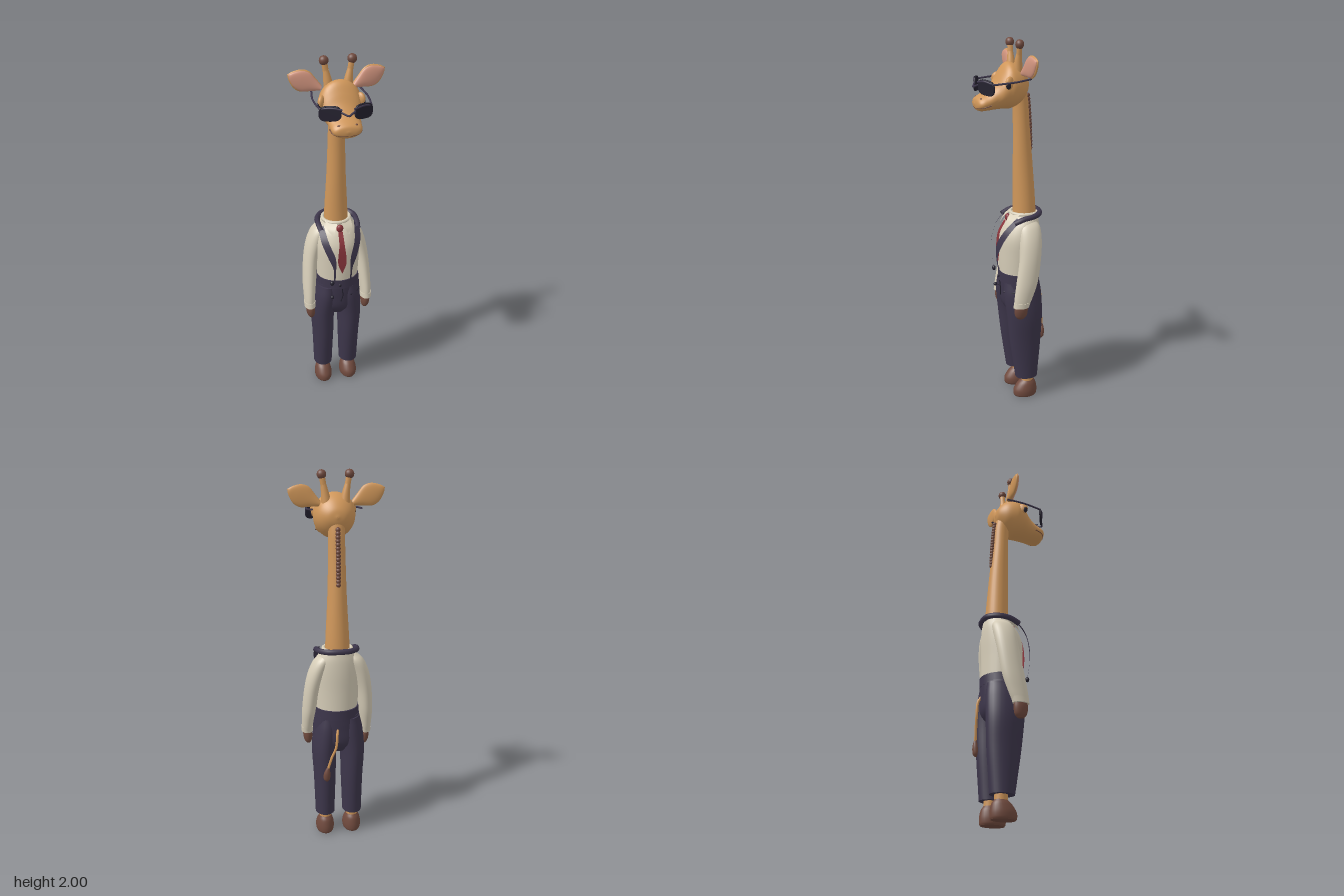
import * as THREE from 'three';

const V = (x, y, z) => new THREE.Vector3(x, y, z);

// Smooth skin over elliptical rings [cx, y, cz, rx, rz], listed from bottom to top
function loft(rows, steps = 5, n = 28) {
  const mid = new THREE.CatmullRomCurve3(rows.map(r => V(r[0], r[1], r[2])), false, 'catmullrom', 0.5);
  const rad = new THREE.CatmullRomCurve3(rows.map(r => V(r[3], r[4], 0)), false, 'catmullrom', 0.5);
  const m = (rows.length - 1) * steps, pos = [], idx = [];
  const ring = t => {
    const c = mid.getPoint(t), r = rad.getPoint(t);
    for (let j = 0; j < n; j++) {
      const a = j / n * Math.PI * 2;
      pos.push(c.x + Math.max(r.x, 1e-4) * Math.cos(a), c.y, c.z + Math.max(r.y, 1e-4) * Math.sin(a));
    }
    return c;
  };
  for (let i = 0; i <= m; i++) ring(i / m);
  for (let i = 0; i < m; i++) for (let j = 0; j < n; j++) {
    const k = (j + 1) % n, a = i * n + j, b = i * n + k;
    idx.push(a, a + n, b + n, a, b + n, b);
  }
  for (const t of [0, 1]) {
    const base = pos.length / 3, c = ring(t);
    pos.push(c.x, c.y, c.z);
    for (let j = 0; j < n; j++) {
      const a = base + j, b = base + (j + 1) % n;
      if (t) idx.push(a, base + n, b); else idx.push(a, b, base + n);
    }
  }
  return indexed(pos, idx);
}

function indexed(pos, idx) {
  const g = new THREE.BufferGeometry();
  g.setAttribute('position', new THREE.Float32BufferAttribute(pos, 3));
  g.setIndex(idx);
  g.computeVertexNormals();
  return g;
}

// Thin cloth strip between two edge curves
function ribbon(left, right, m = 24) {
  const a = new THREE.CatmullRomCurve3(left), b = new THREE.CatmullRomCurve3(right), pos = [], idx = [];
  for (let i = 0; i <= m; i++) {
    pos.push(...a.getPoint(i / m).toArray(), ...b.getPoint(i / m).toArray());
    if (i < m) idx.push(2 * i, 2 * i + 2, 2 * i + 1, 2 * i + 1, 2 * i + 2, 2 * i + 3);
  }
  return indexed(pos, idx);
}

const tube = (pts, r, seg = 32) => new THREE.TubeGeometry(new THREE.CatmullRomCurve3(pts.map(p => V(...p))), seg, r, 8);

export function createModel() {
  const root = new THREE.Group();
  const mat = (name, color, side = THREE.FrontSide) => new THREE.MeshStandardMaterial({ name, color, side });
  const tan = mat('tanFur', 0xd0975a), brown = mat('brown', 0x704a3e), pink = mat('earPink', 0xd2957f);
  const cream = mat('creamShirt', 0xd6cdb8, THREE.DoubleSide), navy = mat('navyCloth', 0x3d364b, THREE.DoubleSide);
  const red = mat('redTie', 0x8a353c, THREE.DoubleSide), dark = mat('darkGlass', 0x24212e);
  const add = (name, geo, m, parent = root) => {
    const mesh = new THREE.Mesh(geo, m);
    mesh.name = name;
    parent.add(mesh);
    return mesh;
  };
  const ball = (name, m, p, s) => {
    const b = add(name, new THREE.SphereGeometry(1, 20, 14), m);
    b.position.set(...p);
    b.scale.set(...s);
    return b;
  };

  // Neck and mane
  add('neck', loft([[0, 1.04, -.093, .067, .064], [0, 1.15, -.091, .062, .06], [0, 1.35, -.083, .051, .053],
    [0, 1.55, -.074, .045, .044], [0, 1.68, -.067, .043, .042], [0, 1.76, -.055, .045, .04]]), tan);
  for (let i = 0; i < 16; i++) {
    const t = i / 15;
    const tuft = ball('maneTuft', brown, [0, 1.43 + .28 * t, -.123 + .016 * t * t], [.013, .013, .014]);
    tuft.rotation.x = 0.4;
  }

  // Head, built along its length and turned to face forward
  const head = add('head', loft([[0, -.106, -1.77, .005, .005], [0, -.095, -1.77, .05, .045], [0, -.06, -1.768, .09, .09],
    [0, -.01, -1.768, .108, .117], [0, .02, -1.763, .107, .113], [0, .05, -1.742, .1, .092], [0, .08, -1.717, .086, .069],
    [0, .12, -1.695, .08, .05], [0, .155, -1.684, .075, .04], [0, .175, -1.682, .055, .027], [0, .182, -1.682, .005, .004]], 5, 36), tan);
  head.rotation.x = Math.PI / 2;
  add('mouth', tube([[-.079, 1.68, .115], [-.072, 1.67, .15], [-.05, 1.665, .17], [0, 1.662, .176],
    [.05, 1.665, .17], [.072, 1.67, .15], [.079, 1.68, .115]], .0025), brown);

  for (const s of [-1, 1]) {
    // Eyes, lids and nostrils
    ball('eyelid', tan, [s * .098, 1.79, .026], [.017, .034, .03]).rotation.y = s * .6;
    ball('eye', dark, [s * .104, 1.785, .032], [.014, .025, .021]).rotation.y = s * .6;
    ball('nostril', brown, [s * .043, 1.711, .159], [.009, .005, .006]);

    // Horns
    add('horn', tube([[s * .048, 1.83, -.035], [s * .058, 1.9, -.036], [s * .07, 1.975, -.036]], .015), tan);
    add('hornBase', loft([[s * .046, 1.82, -.035, .028, .028], [s * .053, 1.88, -.035, .021, .021],
      [s * .062, 1.93, -.036, .014, .014]]), tan);
    ball('hornTip', brown, [s * .071, 1.976, -.036], [.024, .024, .022]);

    // Ears with pink inner faces
    const ear = new THREE.Group();
    ear.name = 'ear';
    const leaf = (w, d, z) => loft([[0, -.01, z, .014 * w, d], [0, .03, z, .034 * w, d], [0, .075, z, .055 * w, d],
      [0, .115, z, .05 * w, d * .9], [0, .15, z, .025 * w, d * .6], [0, .168, z, .002, .001]]);
    add('earShell', leaf(1, .015, 0), tan, ear);
    add('earInner', leaf(.9, .014, .006), pink, ear).scale.y = .97;
    ear.position.set(s * .094, 1.838, -.055);
    ear.rotation.set(0, s * .06, -s * 1.13);
    root.add(ear);

    // Sunglass lens and temple arm
    const outline = new THREE.Shape();
    for (let i = 0; i <= 32; i++) {
      const a = i / 32 * Math.PI * 2, c = Math.cos(a), d = Math.sin(a);
      const x = .053 * Math.sign(c) * Math.abs(c) ** .65, y = .036 * Math.sign(d) * Math.abs(d) ** .65 - s * x * .08;
      i ? outline.lineTo(x, y) : outline.moveTo(x, y);
    }
    const lens = add('lens', new THREE.ExtrudeGeometry(outline,
      { depth: .005, bevelEnabled: true, bevelSize: .003, bevelThickness: .003, bevelSegments: 2 }), dark);
    lens.position.set(s * .082, 1.772, .142);
    lens.rotation.y = s * .46;
    add('glassesArm', tube([[s * .128, 1.79, .12], [s * .136, 1.795, .06], [s * .138, 1.8, 0], [s * .126, 1.81, -.08]], .005), navy);
    add('browRim', tube([[s * .03, 1.795, .172], [s * .08, 1.802, .154], [s * .13, 1.79, .12]], .005), navy);
  }
  add('glassesBridge', tube([[-.035, 1.783, .168], [-.018, 1.775, .178], [0, 1.768, .186], [.018, 1.775, .178], [.035, 1.783, .168]], .005), navy);

  // Shirt body and its collar
  add('shirt', loft([[0, .72, -.062, .113, .104], [0, .85, -.06, .121, .108], [0, .95, -.062, .125, .109],
    [0, 1.02, -.075, .114, .095], [0, 1.06, -.088, .092, .078], [0, 1.085, -.092, .078, .07]]), cream);
  const band = add('shirtCollar', new THREE.TorusGeometry(.074, .01, 10, 40), cream);
  band.position.set(0, 1.083, -.092);
  band.rotation.x = Math.PI / 2;

  // Tie, as knot and blade
  add('tie', ribbon([V(-.012, 1.045, .016), V(-.015, .98, .052), V(-.023, .87, .06), V(-.001, .805, .058)],
    [V(.012, 1.045, .016), V(.015, .98, .052), V(.023, .87, .06), V(.001, .805, .058)]), red);
  ball('tieKnot', red, [0, 1.058, .002], [.019, .022, .014]);

  // Jacket collar wrapping the back of the neck
  add('jacketCollar', tube([[-.1, 1.05, .0], [-.106, 1.07, -.05], [-.1, 1.078, -.11], [-.06, 1.083, -.158], [0, 1.085, -.17],
    [.06, 1.083, -.158], [.1, 1.078, -.11], [.106, 1.07, -.05], [.1, 1.05, .0]], .015, 48), navy);

  for (const s of [-1, 1]) {
    // Lapels and shirt collar points
    add('lapel', ribbon([V(s * .114, 1.065, -.03), V(s * .108, 1.0, .03), V(s * .08, .92, .068), V(s * .053, .85, .078), V(s * .05, .76, .066)],
      [V(s * .085, 1.075, -.02), V(s * .07, 1.0, .05), V(s * .042, .92, .082), V(s * .04, .85, .082), V(s * .041, .76, .068)]), navy);
    add('collarPoint', ribbon([V(s * .008, 1.088, -.015), V(s * .026, 1.06, .014), V(s * .042, 1.03, .026)],
      [V(s * .07, 1.092, -.05), V(s * .07, 1.06, -.006), V(s * .046, 1.03, .026)], 8), cream);

    // Sleeves, cuffs and hoofed hands; the left arm is held slightly higher and closer
    const o = s > 0 ? -.013 : 0, up = s > 0 ? .02 : 0;
    const arm = rows => loft(rows.map(([x, y, z, a, b]) => [s * x + o, y + up * Math.max(0, (1 - y) / .42), z, a, b]));
    add('sleeve', arm([[.169, .575, -.022, .028, .042], [.168, .63, -.035, .031, .052], [.162, .72, -.057, .037, .06],
      [.149, .85, -.078, .04, .06], [.125, .95, -.088, .045, .062], [.096, 1.02, -.092, .043, .058], [.075, 1.055, -.092, .025, .035]]), cream);
    add('cuff', arm([[.169, .57, -.02, .031, .044], [.169, .6, -.026, .032, .047]]), cream);
    add('hand', arm([[.163, .497, -.02, .012, .018], [.164, .515, -.02, .021, .032], [.166, .55, -.02, .025, .038], [.168, .59, -.022, .021, .033]]), brown);

    // Trouser leg, ankle and hoof
    const cx = s * .076 - .008;
    add('trouserLeg', loft([[cx, .122, -.086, .053, .064], [cx, .2, -.083, .055, .073], [cx, .35, -.078, .06, .09],
      [cx + s * .002, .5, -.073, .066, .101], [cx - s * .01, .62, -.065, .068, .107], [cx - s * .02, .7, -.063, .06, .1]]), navy);
    add('ankle', loft([[cx, .07, -.092, .032, .034], [cx, .15, -.092, .032, .034]]), tan);
    add('hoof', loft([[cx, 0, -.08, .044, .063], [cx, .012, -.079, .049, .068], [cx, .04, -.08, .05, .067],
      [cx, .075, -.088, .042, .052], [cx, .096, -.093, .031, .034]]), brown);
    add('pocketSeam', tube([[s * .05, .648, .043], [s * .085, .65, .023], [s * .115, .658, -.01]], .004), dark);
  }

  // Hips and waistband
  add('hips', loft([[-.004, .5, -.07, .05, .06], [-.004, .56, -.069, .128, .1], [-.003, .64, -.066, .131, .108], [0, .71, -.064, .124, .111]]), navy);
  add('waistband', loft([[0, .7, -.063, .122, .113], [0, .752, -.063, .12, .113]]), navy);
  ball('waistButton', dark, [-.01, .722, .05], [.008, .008, .004]);
  add('flySeam', tube([[.002, .7, .05], [.006, .65, .046], [-.004, .61, .042]], .003), dark);
  ball('lapelButton', dark, [-.058, .752, .062], [.012, .014, .01]);
  ball('pocketButton', dark, [-.056, .655, .055], [.01, .01, .01]);

  // Tail with tuft
  add('tail', tube([[.01, .65, -.165], [.015, .62, -.183], [.022, .55, -.187], [.045, .49, -.182], [.068, .41, -.176]], .007), tan);
  add('tailTuft', loft([[.07, .345, -.172, .006, .006], [.071, .36, -.172, .017, .015], [.07, .39, -.174, .018, .016],
    [.067, .415, -.176, .012, .011], [.064, .43, -.177, .006, .006]]), brown);

  return root;
}
